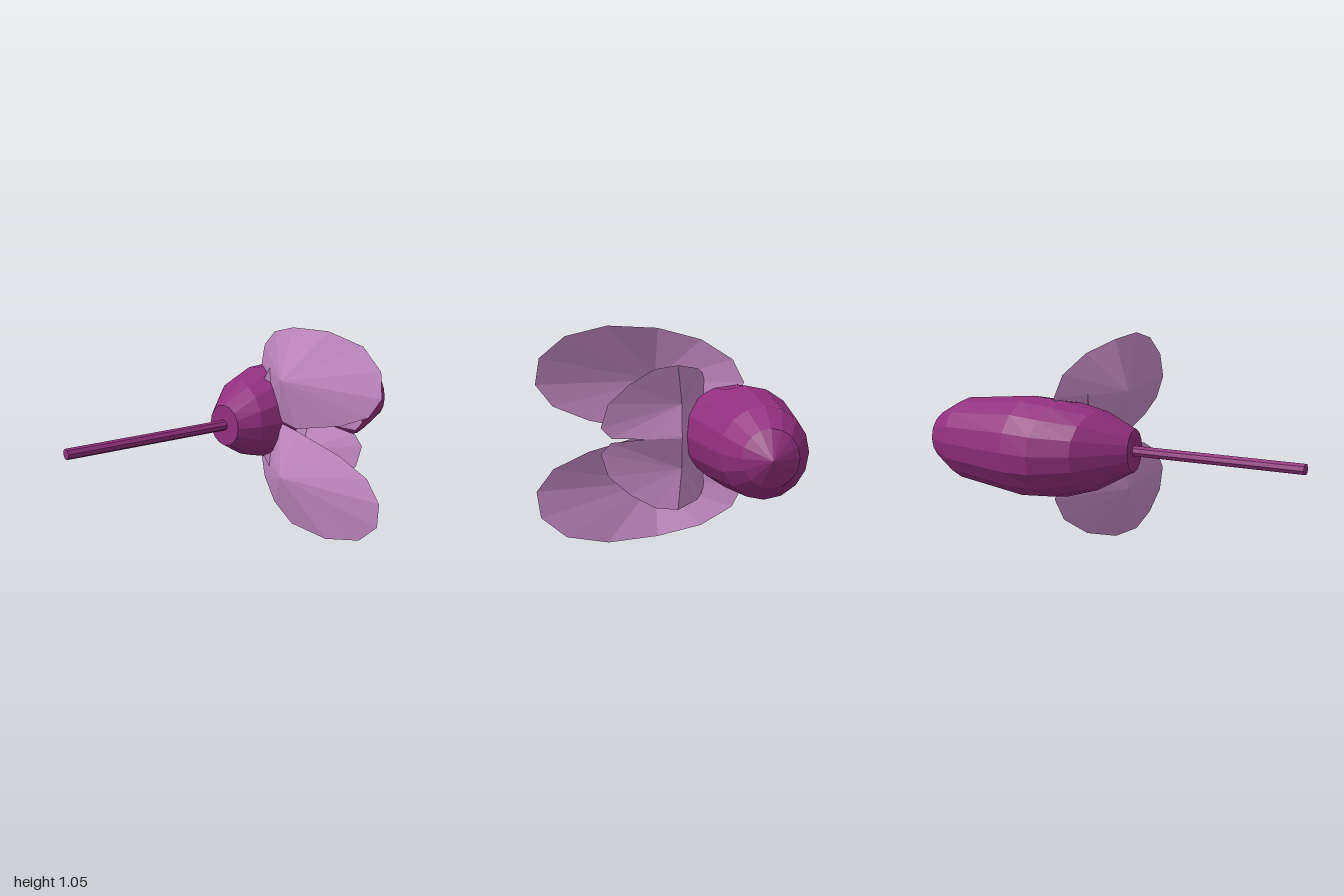
import * as THREE from 'three';

const MID = 0.53; // height of the body axis

function meshFrom(name, positions, index, material) {
  const geo = new THREE.BufferGeometry();
  geo.setAttribute('position', new THREE.Float32BufferAttribute(positions, 3));
  geo.setIndex(index);
  geo.computeVertexNormals();
  const mesh = new THREE.Mesh(geo, material);
  mesh.name = name;
  return mesh;
}

// Bent body: each ring is [back x, back z, front x, front z, half height]
function buildBody(material) {
  const sides = 16;
  const rings = [
    [-0.116, -0.155, -0.116, -0.155, 0],
    [-0.147, -0.25, -0.085, -0.06, 0.105],
    [0.01, -0.49, 0.04, -0.037, 0.195],
    [0.18, -0.61, 0.14, -0.06, 0.235],
    [0.34, -0.62, 0.36, -0.11, 0.25],
    [0.76, -0.6, 0.79, -0.2, 0.208],
    [0.92, -0.535, 0.93, -0.285, 0.13],
    [0.995, -0.41, 0.995, -0.41, 0],
  ];
  const positions = [], index = [];
  for (const [bx, bz, fx, fz, ry] of rings) {
    for (let i = 0; i < sides; i++) {
      const a = (i / sides) * Math.PI * 2, t = (1 + Math.cos(a)) / 2;
      positions.push(bx + (fx - bx) * t, MID + ry * Math.sin(a), bz + (fz - bz) * t);
    }
  }
  for (let r = 0; r < rings.length - 1; r++) {
    for (let i = 0; i < sides; i++) {
      const j = (i + 1) % sides;
      const a = r * sides + i, b = a + sides, c = r * sides + j, d = c + sides;
      if (r > 0) index.push(a, b, c);
      if (r < rings.length - 2) index.push(c, b, d);
    }
  }
  // close the pointed ends
  const last = rings.length - 1;
  for (let i = 0; i < sides; i++) {
    const j = (i + 1) % sides;
    index.push(0, sides + i, sides + j);
    index.push((last - 1) * sides + i, last * sides, (last - 1) * sides + j);
  }
  return meshFrom('body', positions, index, material);
}

// Wing: a fan around a ridge point; flip = -1 mirrors it below the axis
function buildWing(name, hub, rim, flip, material) {
  const positions = [], index = [];
  for (const [x, y, z] of [hub, ...rim]) positions.push(x, MID + flip * (y - MID), z);
  for (let i = 0; i < rim.length; i++) {
    const a = i + 1, b = ((i + 1) % rim.length) + 1;
    index.push(0, ...(flip > 0 ? [b, a] : [a, b]));
  }
  return meshFrom(name, positions, index, material);
}

export function createModel() {
  const group = new THREE.Group();
  const bodyMat = new THREE.MeshStandardMaterial({ color: 0x92307e, flatShading: true });
  const wingMat = new THREE.MeshStandardMaterial({
    color: 0xc48ac4, flatShading: true, side: THREE.DoubleSide,
  });

  group.add(buildBody(bodyMat));

  // Thin rod leading out of the narrow end
  const from = new THREE.Vector3(-0.996, MID, -0.02), to = new THREE.Vector3(-0.1, MID, -0.162);
  const rod = new THREE.Mesh(
    new THREE.CylinderGeometry(0.027, 0.027, from.distanceTo(to), 8), bodyMat);
  rod.name = 'rod';
  rod.position.copy(from).lerp(to, 0.5);
  rod.quaternion.setFromUnitVectors(new THREE.Vector3(0, 1, 0), to.clone().sub(from).normalize());
  group.add(rod);

  // Wing outlines, for the upper side
  const largeHub = [0.095, 0.78, 0.05];
  const largeRim = [
    [0.165, 0.535, 0.09], [0.25, 0.605, 0.37], [0.3, 0.68, 0.54], [0.32, 0.785, 0.62],
    [0.325, 0.91, 0.6], [0.3, 1.01, 0.48], [0.23, 1.055, 0.28], [0.17, 1.04, 0.04],
    [0.18, 0.985, -0.17], [0.2, 0.89, -0.32], [0.21, 0.78, -0.375],
    [0.2, 0.64, -0.3], [0.17, 0.535, -0.1],
  ];
  const smallHub = [0.29, 0.685, -0.07];
  const smallRim = [
    [0.33, 0.527, -0.07], [0.365, 0.53, 0.1], [0.4, 0.54, 0.265], [0.41, 0.59, 0.315],
    [0.4, 0.7, 0.28], [0.38, 0.79, 0.18], [0.36, 0.86, 0.06], [0.335, 0.875, -0.05],
    [0.22, 0.85, -0.15], [0.17, 0.825, -0.175], [0.13, 0.72, -0.21], [0.15, 0.54, -0.2],
  ];
  for (const [side, flip] of [['upper', 1], ['lower', -1]]) {
    group.add(buildWing(side + 'LargeWing', largeHub, largeRim, flip, wingMat));
    group.add(buildWing(side + 'SmallWing', smallHub, smallRim, flip, wingMat));
  }
  return group;
}
